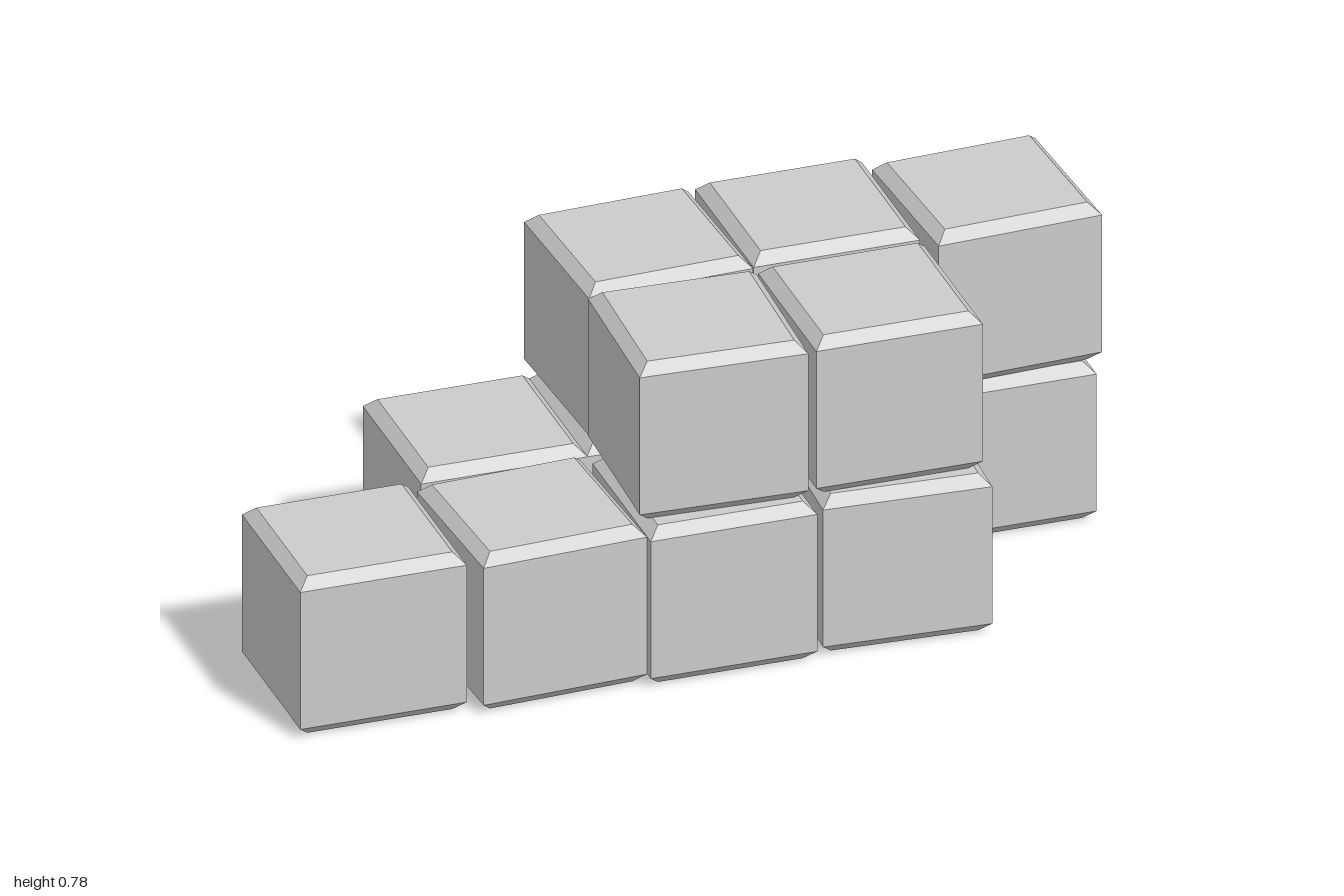
import * as THREE from 'three';

const WIDTH = 0.387, HEIGHT = 0.39, BEVEL = 0.025;

// Square block with chamfered top and bottom rims and sharp upright edges
function blockGeometry() {
  const outer = WIDTH / Math.SQRT2;
  const inner = (WIDTH / 2 - BEVEL) * Math.SQRT2;
  const profile = [
    [0, 0], [inner, 0], [outer, BEVEL],
    [outer, HEIGHT - BEVEL], [inner, HEIGHT], [0, HEIGHT],
  ].map(([r, y]) => new THREE.Vector2(r, y));
  return new THREE.LatheGeometry(profile, 4, Math.PI / 4);
}

// Each block: x, z, turn about y
const LAYERS = {
  lowerFront: [[-0.807, 0.19, 0], [-0.4, 0.207, 0.05], [-0.003, 0.22, 0], [0.412, 0.215, -0.05]],
  lowerBack: [[-0.389, -0.201, 0], [-0.004, -0.201, 0], [0.4, -0.213, -0.045], [0.792, -0.197, 0]],
  upperFront: [[-0.008, 0.19, -0.04], [0.391, 0.194, 0]],
  upperBack: [[-0.006, -0.211, 0.04], [0.391, -0.223, 0], [0.797, -0.192, 0.05]],
};

export function createModel() {
  const model = new THREE.Group();
  model.name = 'blockStack';
  const geometry = blockGeometry();
  const material = new THREE.MeshStandardMaterial({ color: 0xcccccc, flatShading: true });

  for (const [name, blocks] of Object.entries(LAYERS)) {
    const row = new THREE.Group();
    row.name = name + 'Row';
    row.position.y = name.startsWith('upper') ? HEIGHT : 0;
    blocks.forEach(([x, z, turn], i) => {
      const block = new THREE.Mesh(geometry, material);
      block.name = `${name}Block${i + 1}`;
      block.position.set(x, 0, z);
      block.rotation.y = turn;
      row.add(block);
    });
    model.add(row);
  }
  return model;
}
